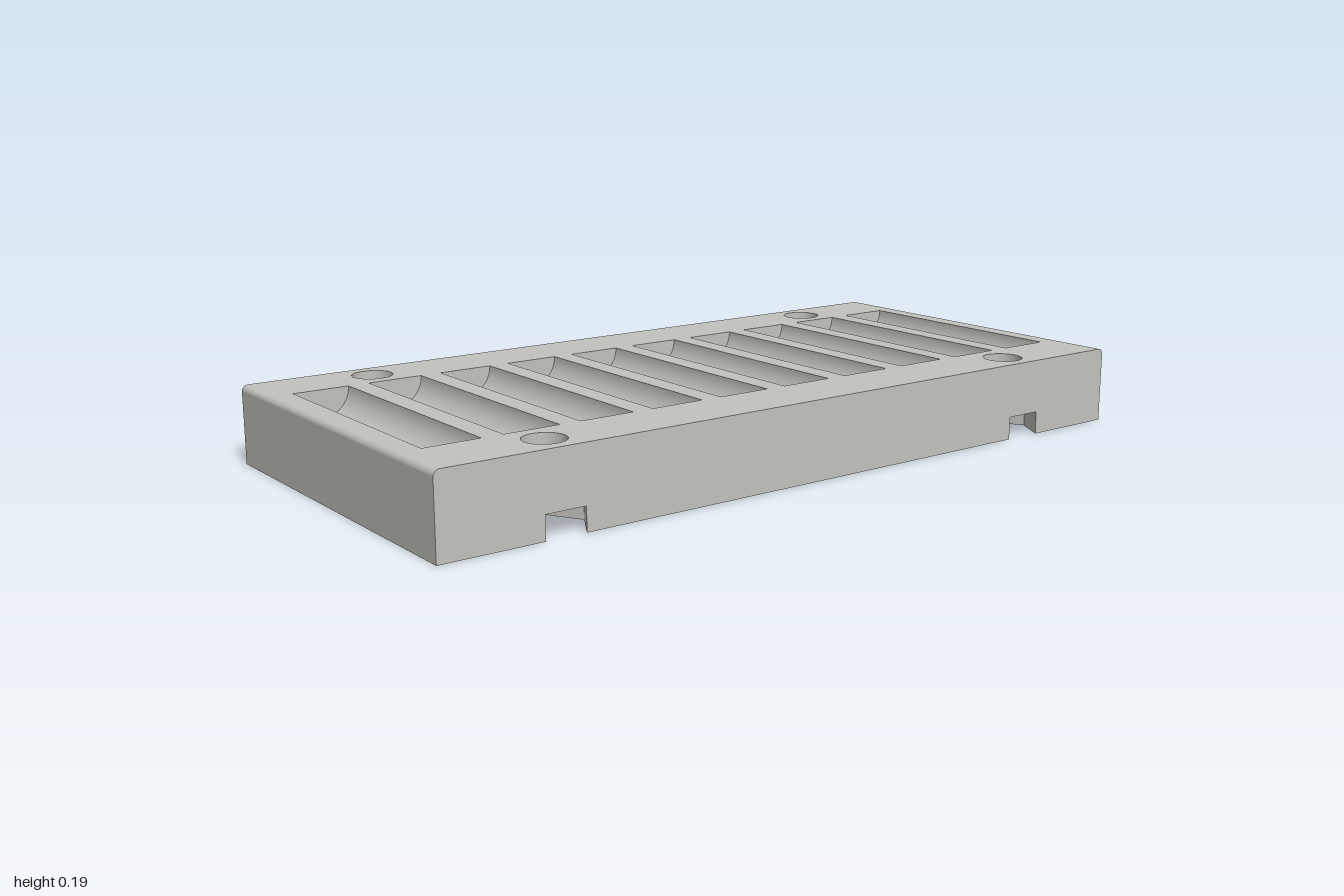
import * as THREE from 'three';

const W = 1, D = 0.476, H = 0.195;               // half width, half depth, height
const FILLET = 0.015;
const HOLE_X = 0.697, HOLE_Z = 0.397, HOLE_R = 0.05;
const NUT_H = 0.058, NUT_R = 0.0956, NUT_OPEN = 0.05;
const GROOVE_R = 0.07, GROOVE_Z = 0.315, GROOVES = 10, GROOVE_SPAN = 0.87;

const grey = new THREE.MeshStandardMaterial({ color: 0xc2c2be, side: THREE.DoubleSide });
grey.name = 'grey';

function add(parent, name, geometry, x = 0, y = 0, z = 0) {
  const mesh = new THREE.Mesh(geometry, grey);
  mesh.name = name;
  mesh.position.set(x, y, z);
  parent.add(mesh);
  return mesh;
}

const circlePath = (x, y) => new THREE.Path().absarc(x, y, HOLE_R, 0, Math.PI * 2, true);
const grooveX = i => -GROOVE_SPAN + (2 * GROOVE_SPAN * i) / (GROOVES - 1);
const flat = (shape, up) => new THREE.ShapeGeometry(shape, 24).rotateX(up ? -Math.PI / 2 : Math.PI / 2);

// hexagonal nut pocket, cut off by the long edge of the plate, as (x, z) points
function pocketPoints(cx) {
  const a = NUT_R / 2, b = NUT_R * Math.sqrt(3) / 2;
  return [[-NUT_OPEN, D - HOLE_Z], [-NUT_R, 0], [-a, -b], [a, -b], [NUT_R, 0], [NUT_OPEN, D - HOLE_Z]]
    .map(([x, z]) => new THREE.Vector2(cx + x, HOLE_Z + z));
}

// upright walls along a line of (x, z) points
function walls(points, y0, y1) {
  const pos = [];
  for (let i = 0; i < points.length - 1; i++) {
    const p = points[i], q = points[i + 1];
    pos.push(p.x, y0, p.y, p.x, y1, p.y, q.x, y1, q.y, p.x, y0, p.y, q.x, y1, q.y, q.x, y0, q.y);
  }
  const g = new THREE.BufferGeometry();
  g.setAttribute('position', new THREE.Float32BufferAttribute(pos, 3));
  g.computeVertexNormals();
  return g;
}

// front wall with rounded top corners and two nut openings
function frontWall() {
  const s = new THREE.Shape();
  s.moveTo(-W, 0);
  for (const x of [-HOLE_X, HOLE_X]) {
    s.lineTo(x - NUT_OPEN, 0);
    s.lineTo(x - NUT_OPEN, NUT_H);
    s.lineTo(x + NUT_OPEN, NUT_H);
    s.lineTo(x + NUT_OPEN, 0);
  }
  s.lineTo(W, 0);
  s.absarc(W - FILLET, H - FILLET, FILLET, 0, Math.PI / 2, false);
  s.absarc(-W + FILLET, H - FILLET, FILLET, Math.PI / 2, Math.PI, false);
  return new THREE.ShapeGeometry(s, 8);
}

function topFace() {
  const w = W - FILLET;
  const s = new THREE.Shape([[-w, -D], [w, -D], [w, D], [-w, D]].map(p => new THREE.Vector2(...p)));
  for (const x of [-HOLE_X, HOLE_X]) for (const z of [-HOLE_Z, HOLE_Z]) s.holes.push(circlePath(x, z));
  for (let i = 0; i < GROOVES; i++) {
    const x = grooveX(i), r = GROOVE_R, l = GROOVE_Z;
    s.holes.push(new THREE.Path([[x - r, -l], [x - r, l], [x + r, l], [x + r, -l]].map(p => new THREE.Vector2(...p))));
  }
  return flat(s, true);
}

function bottomFace() {
  const edge = [new THREE.Vector2(-W, D), ...pocketPoints(-HOLE_X), ...pocketPoints(HOLE_X), new THREE.Vector2(W, D)];
  return flat(new THREE.Shape([...edge, ...edge.map(p => p.clone().negate())]), false);
}

export function createModel() {
  const model = new THREE.Group();
  model.name = 'grooved plate';
  add(model, 'topFace', topFace(), 0, H, 0);
  add(model, 'bottomFace', bottomFace());

  // each half: long wall, short wall with rounded top edge, two bolt holes with nut pockets
  for (const [name, turn] of [['front', 0], ['back', Math.PI]]) {
    const half = new THREE.Group();
    half.name = name + 'Half';
    half.rotation.y = turn;
    model.add(half);
    add(half, 'longWall', frontWall(), 0, 0, D);
    add(half, 'endWall', new THREE.PlaneGeometry(2 * D, H - FILLET).rotateY(Math.PI / 2), W, (H - FILLET) / 2, 0);
    add(half, 'roundedEdge',
      new THREE.CylinderGeometry(FILLET, FILLET, 2 * D, 8, 1, true, Math.PI / 2, Math.PI / 2).rotateX(Math.PI / 2),
      W - FILLET, H - FILLET, 0);
    for (const x of [-HOLE_X, HOLE_X]) {
      add(half, 'boltHole', new THREE.CylinderGeometry(HOLE_R, HOLE_R, H - NUT_H, 48, 1, true),
        x, (H + NUT_H) / 2, HOLE_Z);
      const points = pocketPoints(x);
      add(half, 'nutPocketWalls', walls(points, 0, NUT_H));
      const ceiling = new THREE.Shape(points);
      ceiling.holes.push(circlePath(x, HOLE_Z));
      add(half, 'nutPocketCeiling', flat(ceiling, false), 0, NUT_H, 0);
    }
  }

  // row of half-round troughs
  for (let i = 0; i < GROOVES; i++) {
    const groove = new THREE.Group();
    groove.name = 'groove';
    groove.position.set(grooveX(i), H, 0);
    model.add(groove);
    add(groove, 'trough', new THREE.CylinderGeometry(GROOVE_R, GROOVE_R, 2 * GROOVE_Z, 32, 1, true, -Math.PI / 2, Math.PI)
      .rotateX(Math.PI / 2));
    for (const s of [-1, 1]) {
      const end = new THREE.CircleGeometry(GROOVE_R, 32, Math.PI, Math.PI);
      if (s > 0) end.rotateY(Math.PI);
      add(groove, 'troughEnd', end, 0, 0, s * GROOVE_Z);
    }
  }
  return model;
}
